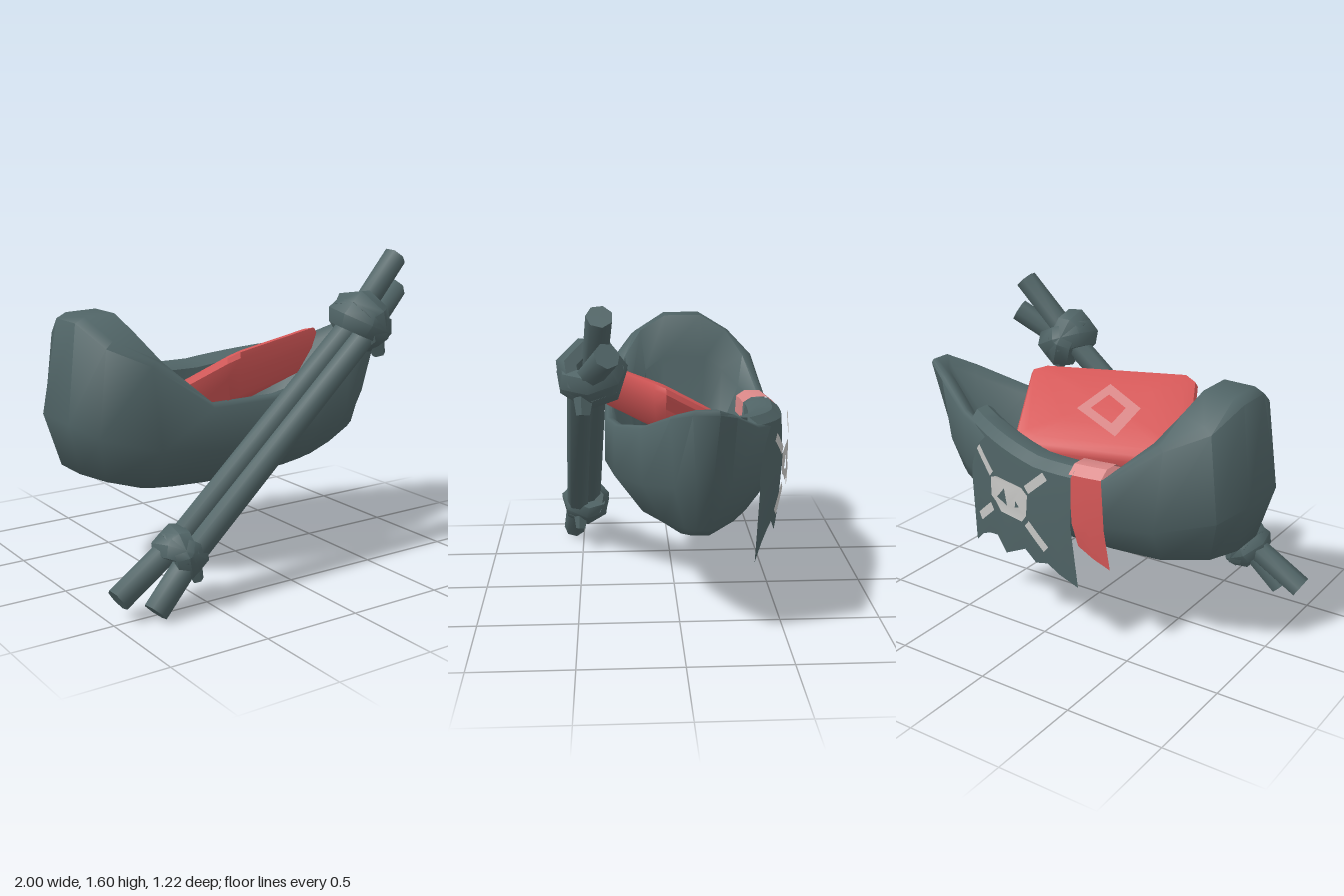
import * as THREE from 'three';
import { toCreasedNormals } from 'three/addons/utils/BufferGeometryUtils.js';

const mat = (name, color, side = THREE.FrontSide) => {
  const m = new THREE.MeshStandardMaterial({ color, side });
  m.name = name;
  return m;
};

// Surface through rows of points; closed rows wrap round
function loft(rows, closed, crease = 0.6) {
  const n = rows[0].length, index = [];
  for (let r = 0; r < rows.length - 1; r++) {
    for (let i = 0; i < (closed ? n : n - 1); i++) {
      const j = (i + 1) % n, a = r * n + i, b = r * n + j, c = a + n, d = b + n;
      index.push(a, b, d, a, d, c);
    }
  }
  const g = new THREE.BufferGeometry();
  g.setAttribute('position', new THREE.Float32BufferAttribute(rows.flat(2), 3));
  g.setIndex(index);
  return toCreasedNormals(g, crease);
}

export function createModel() {
  const model = new THREE.Group();
  const slate = mat('slate', 0x506466);
  const cloth = mat('slateCloth', 0x506466, THREE.DoubleSide);
  const red = mat('red', 0xd65858, THREE.DoubleSide);
  const pink = mat('pink', 0xd88686, THREE.DoubleSide);
  const grey = mat('paleGrey', 0xc6c6c4, THREE.DoubleSide);
  const add = (name, geometry, material, parent = model) => {
    const m = new THREE.Mesh(geometry, material);
    m.name = name;
    parent.add(m);
    return m;
  };

  // Hull: half contours from stern to bow as [x, y, half width], mirrored about the keel
  const keelZ = -0.085;
  const bottom = [[-.56, .45, .06], [-.5, .45, .1], [-.4, .44, .1], [-.2, .43, .1], [0, .43, .1],
    [.3, .445, .1], [.5, .47, .08], [.7, .53, .04], [.81, .58, .02]];
  const bilge = [[-.91, .59, .1], [-.82, .56, .2], [-.6, .53, .28], [-.33, .52, .29], [0, .52, .29],
    [.3, .52, .26], [.56, .55, .17], [.76, .59, .08], [.83, .6, .03]];
  const side = [[-.98, .85, .14], [-.9, .8, .3], [-.62, .72, .4], [-.33, .7, .445], [0, .7, .445],
    [.3, .71, .4], [.6, .75, .27], [.82, .8, .13], [.92, .87, .04]];
  const rimOuter = [[-.91, 1.32, .1], [-.85, 1.22, .29], [-.66, 1.13, .385], [-.36, .91, .445], [0, .91, .445],
    [.3, .955, .4], [.6, 1.02, .28], [.85, 1.13, .15], [1, 1.18, .06]];
  const hoodCrown = [[-.86, 1.345, .1], [-.8, 1.25, .265], [-.63, 1.15, .365], [-.355, .93, .43], [0, .93, .43],
    [.3, .97, .385], [.6, 1.035, .265], [.845, 1.145, .135], [.99, 1.2, .055]];
  const rimTop = [[-.7, 1.35, .1], [-.67, 1.27, .24], [-.58, 1.14, .33], [-.35, .93, .405], [0, .93, .405],
    [.3, .97, .36], [.6, 1.04, .245], [.84, 1.15, .115], [.97, 1.2, .045]];
  const rimInner = [[-.59, 1.13, .12], [-.575, 1.06, .215], [-.5, .98, .3], [-.33, .88, .375], [0, .89, .375],
    [.3, .93, .33], [.57, 1, .21], [.8, 1.1, .08], [.92, 1.15, .015]];
  const floor = [[-.62, .72, .1], [-.58, .68, .2], [-.45, .65, .26], [-.3, .64, .29], [0, .64, .29],
    [.25, .66, .25], [.48, .72, .14], [.65, .85, .04], [.74, .95, .01]];
  const flatten = l => l.map(([x, y]) => [x, y, 0]);
  const ring = l => [
    ...l.map(([x, y, w]) => [x, y, keelZ + w]),
    ...l.map(([x, y, w]) => [x, y, keelZ - w]).reverse(),
  ];
  const levels = [flatten(bottom), bottom, bilge, side, rimOuter, hoodCrown, rimTop, rimInner, floor, flatten(floor)];
  add('hull', loft(levels.map(ring), true, 1), slate);

  // Cushion: a padded wedge lying on a tilted plane
  const tilt = (x, z) => 1.05 + 0.26 * (x + 0.015) + 0.51 * (z - 0.05);
  const corners = [[-.315, .465], [.49, .09], [.3, -.345], [-.535, 0]];
  const outline = corners.flatMap((p, i) => {
    const mix = (q, t) => [p[0] + (q[0] - p[0]) * t, p[1] + (q[1] - p[1]) * t];
    return [mix(corners[(i + 3) % 4], 0.08), mix(corners[(i + 1) % 4], 0.06)];
  });
  const cushionRow = ([t, lift]) => outline.map(([x, z]) => {
    const px = -0.015 + (x + 0.015) * t, pz = 0.05 + (z - 0.05) * t;
    return [px, tilt(px, pz) + lift, pz];
  });
  const cushionRows = [[0, -.2], [.76, -.2], [.94, -.1], [1, -.03], [.97, 0], [.85, .015], [.5, .03], [0, .03]];
  add('cushion', loft(cushionRows.map(cushionRow), true, 0.8), red);

  // Square ring painted on the cushion
  const square = (C, k) => {
    const s = new C();
    [[-.125, -.12], [.135, -.08], [.065, .125], [-.15, .08]].forEach(([x, y], i) =>
      i ? s.lineTo(x * k, y * k) : s.moveTo(x * k, y * k));
    return s;
  };
  const patch = square(THREE.Shape, 1);
  patch.holes.push(square(THREE.Path, 0.55));
  const patchGeo = new THREE.ShapeGeometry(patch);
  const pp = patchGeo.attributes.position;
  for (let i = 0; i < pp.count; i++) {
    const x = pp.getX(i) - 0.03, z = pp.getY(i) + 0.03;
    pp.setXYZ(i, x, tilt(x, z) + 0.036, z);
  }
  patchGeo.computeVertexNormals();
  add('cushionMark', patchGeo, pink);

  // Cloths draped over the back rim
  const clothZ = x => -0.578 + 0.41 * (x + 0.15) ** 2;
  const drape = (x0, x1, top, hem, pull, slant) => {
    const xs = hem.map((_, i) => x0 + (x1 - x0) * i / (hem.length - 1));
    const row = (y, dz, dx = 0) => xs.map((x, i) => [x + dx, y(x, i), clothZ(x) + dz + pull]);
    return [
      row(x => top(x) - 0.12, 0.19), row(x => top(x) - 0.03, 0.185), row(top, 0.14),
      row(top, 0.06), row(x => top(x) - 0.04, 0.01), row(() => 0.7, 0, slant / 2),
      row((x, i) => hem[i], 0.02, slant),
    ];
  };
  const flagHem = [.36, .4, .44, .42, .47, .43, .39, .46, .44, .4, .33];
  const flagRows = drape(-.22, .54, x => 0.975 + 0.15 * Math.max(0, x), flagHem, 0, 0);
  flagRows.at(-1)[0][0] -= 0.03;
  add('flag', loft(flagRows, false), cloth);
  const sashRows = drape(-.37, -.2, () => 0.985, [.49, .53, .58], 0.012, -0.045);
  add('sashTop', loft(sashRows.slice(0, 5), false), pink);
  add('sashHanging', loft(sashRows.slice(4), false), red);

  // Flag emblem: a rounded mask with eye holes and four bars, bent to the cloth
  const emblem = new THREE.Group();
  emblem.name = 'flagEmblem';
  model.add(emblem);
  const poly = (C, pts) => {
    const s = new C();
    pts.forEach(([x, y], i) => (i ? s.lineTo(x, y) : s.moveTo(x, y)));
    return s;
  };
  const bend = g => {
    const p = g.attributes.position;
    for (let i = 0; i < p.count; i++) {
      const x = p.getX(i) + 0.16;
      p.setXYZ(i, x, p.getY(i) + 0.735, clothZ(x) - 0.027);
    }
    g.computeVertexNormals();
    return g;
  };
  const mask = poly(THREE.Shape, [[-.1, -.09], [.06, -.09], [.1, -.05], [.14, -.03], [.14, .07], [.09, .09], [-.1, .09], [-.14, .06], [-.13, -.05]]);
  mask.holes.push(poly(THREE.Path, [[-.08, -.02], [-.05, -.03], [-.055, .005]]),
    poly(THREE.Path, [[.01, -.04], [.09, -.02], [.03, .045]]));
  add('mask', bend(new THREE.ShapeGeometry(mask)), grey, emblem);
  for (const sx of [-1, 1]) for (const sy of [-1, 1]) {
    const bone = new THREE.PlaneGeometry(0.16, 0.044, 4, 1);
    bone.rotateZ(Math.atan2(sy * 0.85, sx));
    bone.translate(sx * 0.195, sy * 0.14, 0);
    add('bone', bend(bone), grey, emblem);
  }

  // Pair of poles, pinched together between the two knots
  const up = new THREE.Vector3(0, 1, 0);
  const poles = [
    [[-.965, .115, .475], [-.6, .35, .45], [.45, 1.265, .4], [.74, 1.57, .37]],
    [[-.815, .05, .555], [-.6, .27, .525], [.45, 1.19, .47], [.77, 1.4, .34]],
  ];
  poles.forEach((pts, k) => {
    const pole = new THREE.Group();
    pole.name = k ? 'lowerPole' : 'upperPole';
    model.add(pole);
    const v = pts.map(p => new THREE.Vector3(...p));
    for (let i = 0; i < 3; i++) {
      const d = v[i + 1].clone().sub(v[i]);
      const g = toCreasedNormals(new THREE.CylinderGeometry(0.062, 0.062, d.length() + (i === 1 ? 0.06 : 0), 7), 1);
      const seg = add('poleSection', g, slate, pole);
      seg.position.copy(v[i]).addScaledVector(d, 0.5);
      seg.quaternion.setFromUnitVectors(up, d.normalize());
    }
  });

  // Knots: two broad crossed wraps and a loose end
  const along = new THREE.Vector3(1.05, 0.92, -0.06).normalize();
  const knot = (name, x, y, z, s, flip) => {
    const g = new THREE.Group();
    g.name = name;
    g.position.set(x, y, z);
    g.quaternion.setFromUnitVectors(up, along);
    g.scale.setScalar(s);
    model.add(g);
    for (const a of [-0.35, 0.45]) {
      const wrapGeo = new THREE.TorusGeometry(0.115, 0.06, 6, 7);
      wrapGeo.rotateX(Math.PI / 2);
      wrapGeo.scale(1, 1.3, 1);
      const wrap = add('knotWrap', toCreasedNormals(wrapGeo, 1.1), slate, g);
      wrap.rotation.set(a * 0.5, 0, a * flip);
    }
    const end = add('looseEnd', toCreasedNormals(new THREE.CylinderGeometry(0.035, 0.06, 0.13, 5), 0.9), slate, g);
    end.position.set(0.14, -0.02, 0.03);
    end.rotation.z = -2;
  };
  knot('upperKnot', .485, 1.265, .415, 1, 1);
  knot('lowerKnot', -.635, .28, .48, .82, -1);

  return model;
}
